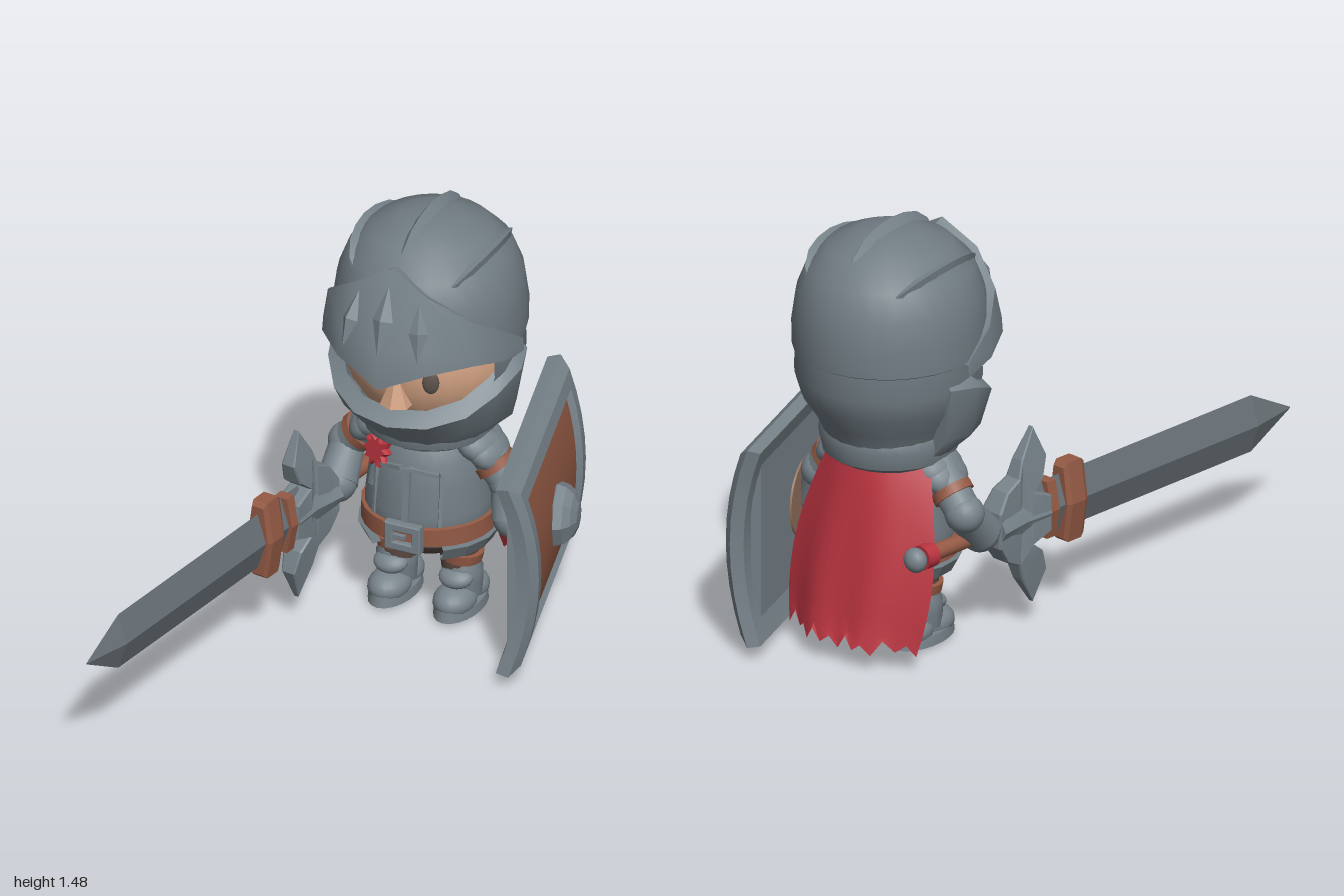
import * as THREE from 'three';
import { toCreasedNormals } from 'three/addons/utils/BufferGeometryUtils.js';

const mat = (name, color, side = THREE.FrontSide) => {
  const m = new THREE.MeshStandardMaterial({ color, side });
  m.name = name;
  return m;
};
const V = (x, y, z) => new THREE.Vector3(x, y, z);
const CX = -0.03, CZ = -0.5; // body axis

// Skin cross-section loops into a solid; ends are capped unless the run is closed
function loft(sections, closed = false) {
  const n = sections[0].length, m = sections.length, idx = [];
  const pos = sections.flat().flatMap(p => [p.x, p.y, p.z]);
  for (let i = 0; i < (closed ? m : m - 1); i++) for (let j = 0; j < n; j++) {
    const a = i * n + j, b = i * n + (j + 1) % n, k = ((i + 1) % m) * n;
    const c = k + j, d = k + (j + 1) % n;
    idx.push(a, b, c, b, d, c);
  }
  if (!closed) for (let j = 1; j < n - 1; j++) {
    const e = (m - 1) * n;
    idx.push(0, j + 1, j, e, e + j, e + j + 1);
  }
  // Turn the faces outward
  const P = i => V(pos[3 * i], pos[3 * i + 1], pos[3 * i + 2]);
  let vol = 0;
  for (let i = 0; i < idx.length; i += 3) vol += P(idx[i]).dot(P(idx[i + 1]).cross(P(idx[i + 2])));
  if (vol < 0) idx.reverse();
  const g = new THREE.BufferGeometry();
  g.setAttribute('position', new THREE.Float32BufferAttribute(pos, 3));
  g.setIndex(idx);
  return g;
}

export function createModel() {
  const steel = mat('steel', 0x77838a), lathedSteel = mat('steelPlate', 0x717c83, THREE.DoubleSide);
  const blade = mat('bladeSteel', 0x687176), leather = mat('leather', 0x945a45);
  const dark = mat('darkLeather', 0x5c4a41), skin = mat('skin', 0xd0a081);
  const eye = mat('eye', 0x5d534b), red = mat('redCloth', 0xb8333f, THREE.DoubleSide);
  const pad = mat('padding', 0x8f6f5b);
  const root = new THREE.Group();

  const add = (parent, name, geo, m, p = [0, 0, 0], s = [1, 1, 1], r = [0, 0, 0], crease = 0.65) => {
    const o = new THREE.Mesh(toCreasedNormals(geo, crease), m);
    o.name = name;
    o.position.set(...p); o.scale.set(...s); o.rotation.set(...r);
    parent.add(o);
    return o;
  };
  const group = (name, x = 0, y = 0, z = 0) => {
    const g = new THREE.Group();
    g.name = name; g.position.set(x, y, z); root.add(g);
    return g;
  };
  const lathe = (pts, seg = 24, start = 0, len = Math.PI * 2) =>
    new THREE.LatheGeometry(pts.map(p => new THREE.Vector2(...p)), seg, start, len);
  const ball = (r = 1) => new THREE.SphereGeometry(r, 20, 14);
  const box = (x, y, z) => new THREE.BoxGeometry(x, y, z);
  const limb = (parent, name, a, b, r1, r2, m) => {
    const d = b.clone().sub(a);
    const o = add(parent, name, new THREE.CylinderGeometry(r2, r1, d.length(), 16), m);
    o.position.copy(a).addScaledVector(d, 0.5);
    o.quaternion.setFromUnitVectors(V(0, 1, 0), d.normalize());
    return o;
  };
  // Cylinder-coordinate point about the head axis, angle 0 to the front
  const polar = (a, r, y) => V(Math.sin(a) * r, y, Math.cos(a) * r);
  const mirrored = rows => [...rows.slice(1).reverse().map(([a, ...q]) => [-a, ...q]), ...rows];

  // Face
  const head = group('head', CX, 0, CZ);
  add(head, 'face', ball(), skin, [0, 0.95, 0], [0.29, 0.27, 0.26]);
  add(head, 'nose', new THREE.ConeGeometry(0.056, 0.13, 6), skin, [0, 0.91, 0.25], [1, 1, 0.85]);
  for (const s of [-1, 1]) {
    add(head, 'eye', ball(), eye, [s * 0.118, 0.945, 0.236], [0.028, 0.041, 0.012], [0, s * 0.4, 0]);
    add(head, 'eyebrow', box(0.1, 0.014, 0.02), dark, [s * 0.12, 1.005, 0.233], [1, 1, 1], [0, s * 0.4, s * 0.17]);
  }

  // Helmet: crown, back shell and neck ring
  const helmet = group('helmet', CX, 0, -0.51);
  add(helmet, 'crown', lathe([[0.3, 1.02], [0.315, 1.03], [0.317, 1.12], [0.303, 1.22], [0.268, 1.31], [0.2, 1.38],
    [0.1, 1.425], [0.001, 1.435]], 28), lathedSteel, [0, 0, 0], [1, 1, 1.05]);
  add(helmet, 'backShell', lathe([[0.215, 0.73], [0.24, 0.79], [0.285, 0.86], [0.308, 0.94], [0.305, 1.06]], 24,
    1.2, Math.PI * 2 - 2.4), lathedSteel, [0, 0, 0], [1, 1, 1.05]);
  add(helmet, 'neckRing', lathe([[0.19, 0.64], [0.22, 0.66], [0.235, 0.72], [0.225, 0.76], [0.2, 0.78]]), lathedSteel);

  // Three crest fins running front to back
  for (const a of [-0.75, 0, 0.75]) {
    const rows = [];
    for (let i = 0; i <= 8; i++) {
      const t = -0.8 + i * 0.2, h = 0.05 * Math.min(1, (4 - Math.abs(i - 4)) * 0.8);
      const at = (b, k) => V((0.315 + k) * Math.sin(b) * Math.cos(t), 1.1 + (0.325 + k) * Math.cos(b) * Math.cos(t),
        (0.335 + k) * Math.sin(t));
      rows.push([at(a - 0.13, -0.01), at(a, h - 0.01), at(a + 0.13, -0.01), at(a, -0.06)]);
    }
    add(helmet, 'crestFin', loft(rows), steel);
  }

  // Visor: angle, lower y, upper y, radii at bottom, middle and top
  const visor = mirrored([[0, 0.97, 1.365, 0.38, 0.372, 0.265], [0.45, 1.04, 1.29, 0.375, 0.365, 0.305],
    [0.9, 1.045, 1.2, 0.352, 0.348, 0.327], [1.3, 1.01, 1.12, 0.335, 0.337, 0.33], [1.7, 0.985, 1.03, 0.33, 0.33, 0.327]]);
  add(helmet, 'visor', loft(visor.map(([a, b, t, rb, rm, rt]) => {
    const m = b + 0.35 * (t - b);
    return [[rb, b], [rm, m], [rt, t], [rt - 0.04, t - 0.01], [rm - 0.05, m], [rb - 0.05, b + 0.01]]
      .map(([r, y]) => polar(a, r, y));
  })), steel, [0, 0, 0.025]);
  for (const s of [-1, 0, 1]) {
    const g = new THREE.OctahedronGeometry(1);
    g.scale(s ? 0.032 : 0.036, s ? 0.1 : 0.118, 0.025).rotateX(-0.4);
    add(helmet, 'visorSlot', g, steel, [s * 0.122, s ? 1.18 : 1.205, s ? 0.348 : 0.36], [1, 1, 1], [0, s * 0.35, 0], 0.1);
  }

  // Chin guard with a sloped rim: angle, rim y, outer radius
  const chin = mirrored([[0, 0.84, 0.335], [0.4, 0.85, 0.335], [0.8, 0.88, 0.333], [1.15, 0.935, 0.335],
    [1.5, 0.985, 0.34], [1.85, 1.0, 0.318]]);
  add(helmet, 'chinGuard', loft(chin.map(([a, y, r]) => [[r - 0.045, y], [r, y - 0.045], [r - 0.035, 0.76],
    [0.2, 0.66], [0.15, 0.66], [r - 0.08, 0.77]].map(([q, h]) => polar(a, q, h)))), steel);

  // Torso, belt and breastplate ridges
  const torso = group('torso', CX, 0, CZ);
  add(torso, 'breastplate', lathe([[0.19, 0.28], [0.215, 0.32], [0.213, 0.4], [0.2, 0.5], [0.185, 0.58], [0.15, 0.65],
    [0.1, 0.69], [0.001, 0.69]]), lathedSteel, [0, 0, 0], [1, 1, 0.95]);
  add(torso, 'belt', lathe([[0.2, 0.3], [0.226, 0.304], [0.226, 0.366], [0.2, 0.37]]), leather, [0, 0, 0], [1, 1, 0.96]);
  add(torso, 'hips', lathe([[0.001, 0.2], [0.1, 0.21], [0.165, 0.25], [0.19, 0.3]]), dark, [0, 0, 0], [1, 1, 0.95]);
  add(torso, 'chestRidge', box(0.022, 0.19, 0.03), steel, [0.01, 0.475, 0.186], [1, 1, 1], [-0.1, 0, 0]);
  for (const s of [-1, 1]) {
    add(torso, 'chestSeam', box(0.012, 0.19, 0.02), steel, [s * 0.115, 0.465, 0.157], [1, 1, 1], [-0.1, s * 0.6, 0]);
    add(torso, 'chestTrim', box(0.1, 0.014, 0.02), steel, [s * 0.06, 0.56, 0.167], [1, 1, 1], [0, s * 0.3, -s * 0.18]);
    add(torso, 'hipPlate', lathe([[0.175, 0.25], [0.205, 0.248], [0.228, 0.295], [0.2, 0.3]], 5, s * Math.PI / 2 - 0.95, 1.9),
      lathedSteel, [0, 0, 0], [1.04, 1, 1], [0, 0, 0], 0.2);
  }
  // Buckle
  const ring = new THREE.Shape([[-0.06, -0.045], [0.06, -0.045], [0.06, 0.045], [-0.06, 0.045]].map(p => new THREE.Vector2(...p)));
  ring.holes.push(new THREE.Path([[-0.038, -0.024], [-0.038, 0.024], [0.038, 0.024], [0.038, -0.024]].map(p => new THREE.Vector2(...p))));
  add(torso, 'buckle', new THREE.ExtrudeGeometry(ring, { depth: 0.025, bevelSize: 0.004, bevelThickness: 0.004, bevelSegments: 1 }),
    steel, [0.012, 0.334, 0.205]);
  add(torso, 'bucklePin', box(0.06, 0.014, 0.02), steel, [-0.01, 0.334, 0.222]);
  // Spiked red rosette with ribbon tails
  const star = new THREE.Shape(Array.from({ length: 20 }, (_, i) => {
    const r = i % 2 ? 0.034 : 0.052, a = i * Math.PI / 10;
    return new THREE.Vector2(Math.cos(a) * r, Math.sin(a) * r);
  }));
  add(torso, 'rosette', new THREE.ExtrudeGeometry(star, { depth: 0.02, bevelSize: 0.006, bevelThickness: 0.012, bevelSegments: 1 }),
    red, [-0.112, 0.588, 0.13], [1, 1, 1], [-0.2, -0.4, 0], 0.2);
  for (const s of [-1, 1]) add(torso, 'ribbonTail', box(0.018, 0.085, 0.012), steel, [-0.122 + s * 0.01, 0.505, 0.15],
    [1, 1, 1], [-0.15, -0.5, s * 0.15]);

  // Legs and armoured boots
  for (const s of [-1, 1]) {
    const leg = group(s < 0 ? 'rightLeg' : 'leftLeg', CX + s * 0.118, 0, CZ);
    add(leg, 'thigh', new THREE.CylinderGeometry(0.075, 0.06, 0.16, 16), dark, [-s * 0.01, 0.22, 0]);
    add(leg, 'kneeStrap', new THREE.CylinderGeometry(0.072, 0.068, 0.035, 16), leather, [0, 0.195, 0], [1, 1, 1], [0, 0, -s * 0.1]);
    add(leg, 'greave', lathe([[0.066, 0.05], [0.07, 0.1], [0.07, 0.14], [0.052, 0.18]], 14), lathedSteel);
    add(leg, 'anklePlate', ball(), steel, [0, 0.125, 0.045], [0.06, 0.032, 0.05], [0.4, 0, 0]);
    add(leg, 'sole', new THREE.CylinderGeometry(0.073, 0.076, 0.035, 20), steel, [0, 0.0175, 0.01], [1, 1, 1.84]);
    add(leg, 'toeCap', ball(), steel, [0, 0.045, 0.055], [0.07, 0.055, 0.088]);
    add(leg, 'heel', ball(), steel, [0, 0.05, -0.05], [0.067, 0.055, 0.075]);
  }

  // Arms: shoulder, elbow, hand
  const arms = [['rightArm', V(-0.21, 0.63, -0.5), V(-0.335, 0.495, -0.52), V(-0.325, 0.395, -0.42), -1],
    ['leftArm', V(0.15, 0.63, -0.5), V(0.255, 0.495, -0.5), V(0.285, 0.385, -0.47), 1]];
  for (const [name, a, b, c, s] of arms) {
    const arm = group(name), mid = a.clone().lerp(b, 0.56), dir = b.clone().sub(a).normalize();
    limb(arm, 'upperArm', a, b, 0.065, 0.06, steel);
    limb(arm, 'armStrap', mid.clone().addScaledVector(dir, -0.016), mid.clone().addScaledVector(dir, 0.016), 0.071, 0.071, leather);
    add(arm, 'shoulderPlate', ball(), steel, [a.x, a.y, a.z], [0.088, 0.06, 0.1], [0, 0, -s * 0.6]);
    add(arm, 'shoulderPlateLower', ball(), steel, [a.x + s * 0.03, a.y - 0.025, a.z], [0.08, 0.055, 0.092], [0, 0, -s * 0.75]);
    add(arm, 'elbowPlate', ball(0.066), steel, b.toArray());
    limb(arm, 'forearm', b, c, 0.058, 0.07, steel);
    add(arm, 'gauntlet', ball(), steel, c.toArray(), [0.066, 0.07, 0.068]);
  }

  // Cape with folds and a ragged hem
  const cape = new THREE.PlaneGeometry(1, 1, 16, 10), cp = cape.attributes.position;
  for (let i = 0; i < cp.count; i++) {
    const u = cp.getX(i) * 2, v = 0.5 - cp.getY(i), col = Math.round((u + 1) * 8);
    const hem = v > 0.99 ? [0, 0.035, 0.01, 0.05][col % 4] : 0;
    cp.setXYZ(i, -0.04 + u * (0.19 + 0.09 * Math.sin(Math.PI * v * 0.75)), 0.68 - 0.63 * v + hem,
      -0.66 - 0.17 * Math.pow(v, 0.8) + u * u * 0.1 + 0.012 * v * Math.cos(u * 8));
  }
  add(group('cape'), 'capeCloth', cape, red, [0, 0, 0], [1, 1, 1], [0, 0, 0], 0.9);

  // Sword, pointing forward along its local z
  const sword = group('sword', -0.39, 0.385, 0);
  sword.rotation.y = -0.153;
  const diamond = (z, w, h) => [V(w, 0, z), V(0, h, z), V(-w, 0, z), V(0, -h, z)];
  add(sword, 'blade', loft([diamond(-0.2, 0.034, 0.1), diamond(0.83, 0.034, 0.1), diamond(1.012, 0.001, 0.002)]),
    blade, [0, 0, 0], [1, 1, 1], [0, 0, 0], 0.1);
  const hex = (z, w, h) => [V(w, 0, z), V(w * 0.55, h, z), V(-w * 0.55, h, z), V(-w, 0, z), V(-w * 0.55, -h, z), V(w * 0.55, -h, z)];
  add(sword, 'bladeBand', loft([hex(-0.062, 0.04, 0.125), hex(-0.045, 0.05, 0.14), hex(0.015, 0.05, 0.14), hex(0.032, 0.04, 0.125)]),
    leather, [0, 0, 0], [1, 1, 1], [0, 0, 0], 0.2);
  add(sword, 'innerBand', loft([hex(-0.14, 0.045, 0.1), hex(-0.1, 0.045, 0.1)]), leather, [0, 0, 0], [1, 1, 1], [0, 0, 0], 0.2);
  const half = [[-0.37, 0.06], [-0.33, 0.12], [-0.27, 0.15], [-0.25, 0.21], [-0.19, 0.305], [-0.145, 0.2], [-0.17, 0.13],
    [-0.22, 0.09], [-0.14, 0.06]];
  const guard = new THREE.ExtrudeGeometry(new THREE.Shape([...half, ...half.map(([z, y]) => [z, -y]).reverse()]
    .map(p => new THREE.Vector2(...p))), { depth: 0.08, bevelSize: 0.004, bevelThickness: 0.01, bevelSegments: 1 });
  guard.translate(0, 0, -0.04).rotateY(-Math.PI / 2);
  const gp = guard.attributes.position;
  for (let i = 0; i < gp.count; i++) gp.setX(i, gp.getX(i) * (1.1 - Math.abs(gp.getY(i)) * 2.9));
  add(sword, 'crossGuard', guard, steel, [0, 0, 0], [1, 1, 1], [0, 0, 0], 0.2);
  add(sword, 'guardCollar', loft([hex(-0.37, 0.065, 0.05), hex(-0.25, 0.045, 0.06), hex(-0.14, 0.05, 0.06)]), steel);
  limb(sword, 'grip', V(0, 0, -0.68), V(0, 0, -0.36), 0.028, 0.028, leather);
  limb(sword, 'pommelGem', V(0, 0, -0.7), V(0, 0, -0.65), 0.042, 0.042, red);
  add(sword, 'pommel', ball(), steel, [0, 0, -0.725], [0.042, 0.042, 0.035]);

  // Shield: everything follows one curve, bulging outward at mid height
  const shield = group('shield', 0.43, 0.38, -0.54);
  shield.rotation.y = 0.262;
  const HY = 0.35, HZ = 0.437;
  const bend = p => V(p.x - 0.068 * (p.y / HY) ** 2, p.y, p.z * (1 + 0.045 * (p.y / HY) ** 2));
  const bent = g => {
    const a = g.attributes.position;
    for (let i = 0; i < a.count; i++) a.setXYZ(i, ...bend(V(a.getX(i), a.getY(i), a.getZ(i))).toArray());
    return g;
  };
  const rim = [];
  for (const s of [1, -1]) for (let i = 0; i <= 8; i++) {
    const u = s * (i / 4 - 1);
    rim.push([[0.008, -0.07], [0, -0.025], [0.03, 0], [0.075, 0], [0.1, -0.03], [0.1, -0.07]]
      .map(([inset, x]) => bend(V(x, u * (HY - inset), s * (HZ - inset)))));
  }
  add(shield, 'shieldRim', loft(rim, true), steel, [0, 0, 0], [1, 1, 1], [0, 0, 0], 0.4);
  add(shield, 'shieldBack', bent(box(0.035, 0.56, 0.73).translate(-0.05, 0, 0).clone()), steel);
  add(shield, 'shieldBacking', bent(new THREE.BoxGeometry(0.03, 0.66, 0.84, 1, 8, 1).translate(-0.053, 0, 0)), steel);
  add(shield, 'shieldPanel', bent(new THREE.BoxGeometry(0.009, 0.52, 0.69, 1, 8, 1).translate(-0.024, 0, 0)), leather);
  add(shield, 'shieldBoss', new THREE.SphereGeometry(1, 8, 8).rotateZ(Math.PI / 2), steel, [-0.02, 0, -0.03],
    [0.075, 0.11, 0.11], [0, 0, 0], 0.3);
  add(shield, 'armPad', new THREE.CylinderGeometry(0.135, 0.145, 0.045, 20).rotateZ(Math.PI / 2), pad, [-0.095, 0, 0.02]);
  return root;
}
